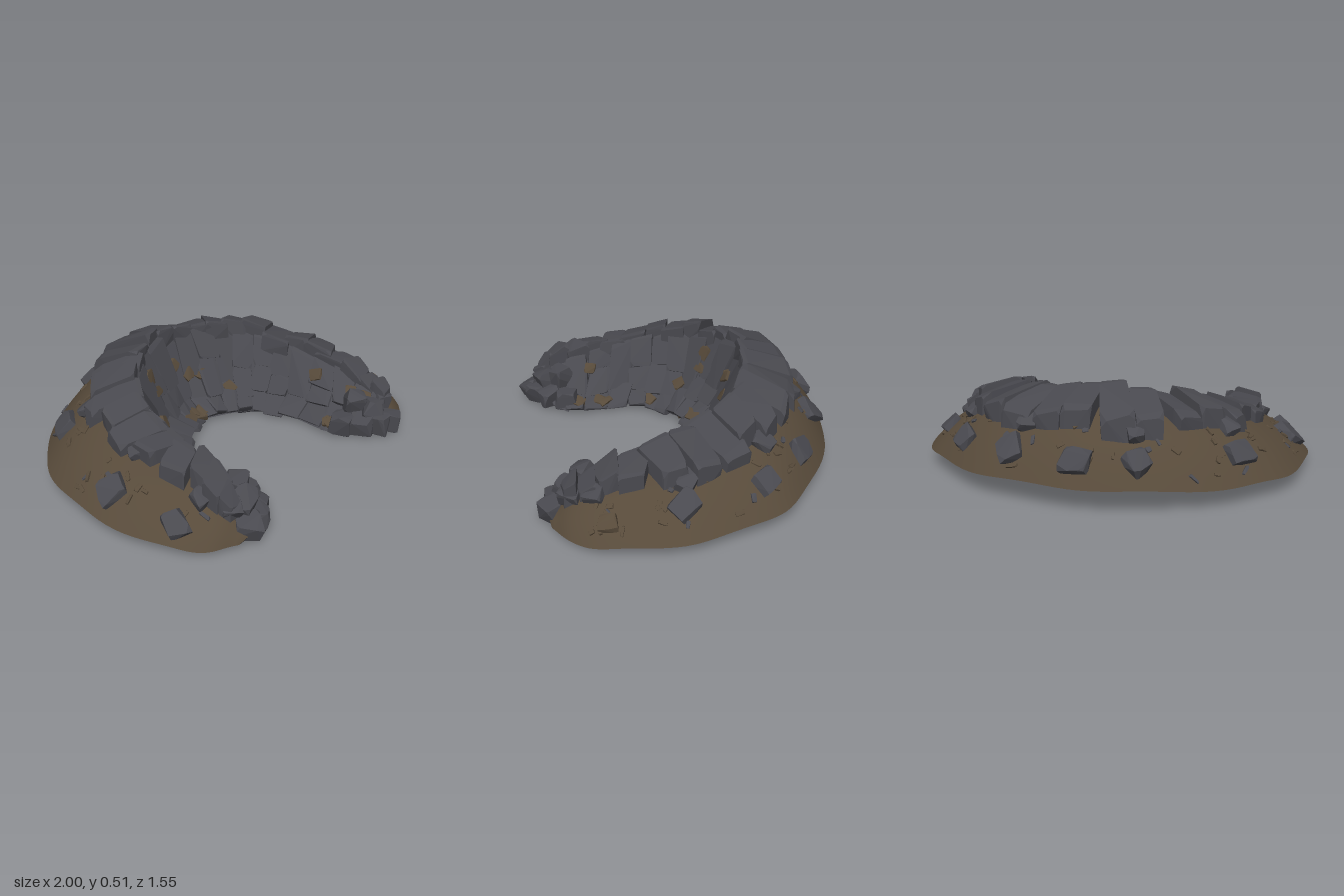
import * as THREE from 'three';
import { mergeGeometries } from 'three/addons/utils/BufferGeometryUtils.js';
import { ConvexGeometry } from 'three/addons/geometries/ConvexGeometry.js';

const V = (x, y, z) => new THREE.Vector3(x, y, z);
const clamp01 = (t) => THREE.MathUtils.clamp(t, 0, 1);
let seed = 7;
const rnd = (a = 0, b = 1) => {
  seed = (seed * 16807) % 2147483647;
  return a + (b - a) * (seed / 2147483647);
};

// Half of the horseshoe, from one tip to the middle of the back; mirrored for the rest
const OUTER = [[-.7, .03, .71], [-.835, .035, .63], [-.94, .05, .45], [-1, .075, .12],
  [-.925, .085, -.23], [-.75, .095, -.47], [-.41, .11, -.69], [0, .12, -.77]];
const CREST = [[-.62, .13, .69], [-.59, .22, .58], [-.56, .29, .4], [-.55, .34, .17],
  [-.5, .39, -.03], [-.385, .43, -.21], [-.2, .46, -.315], [0, .485, -.365]];
const INNER = [[-.56, .03, .69], [-.43, .02, .59], [-.35, .02, .46], [-.355, .02, .23],
  [-.3, .02, .07], [-.205, .02, -.02], [-.1, .02, -.08], [0, .02, -.115]];
const spine = (half) => {
  const pts = half.map((p) => V(...p));
  for (let i = half.length - 2; i >= 0; i--) pts.push(V(-half[i][0], half[i][1], half[i][2]));
  return new THREE.CatmullRomCurve3(pts, false, 'catmullrom', 0.5);
};
const outer = spine(OUTER), crest = spine(CREST), inner = spine(INNER);
const at = (curve, u) => curve.getPoint(clamp01(u));
// The left arm is broader: its wall lies flatter
const leftArm = (u) => Math.exp(-(((u - 0.87) / 0.07) ** 2));

// Soil slope: k = 0 under the crest, k = 1 at the outer rim
function soilAt(u, k) {
  const c = at(crest, u), o = at(outer, u);
  c.x += 0.035 * leftArm(u);
  o.lerp(c, 0.012 * Math.sin(u * 61));
  const p = c.clone().lerp(o, k);
  const top = Math.max(c.y - 0.06, o.y);
  p.y = o.y + (top - o.y) * (1 - Math.pow(Math.max(k, 0), 2.2));
  return p;
}
// Inner wall: v = 0 at the foot, v = 1 at the crest, hollow in the middle
function wallAt(u, v) {
  const c = at(crest, u), arm = leftArm(u);
  c.x += 0.035 * arm;
  c.y -= 0.05;
  const p = at(inner, u).lerp(c, v);
  p.y -= (0.21 - 0.16 * arm) * c.y * Math.sin(Math.PI * clamp01(v));
  return p;
}
// Underside: v = 0 at the outer rim, v = 1 at the inner foot
function underAt(u, v) {
  const o = soilAt(u, 1), y = o.y;
  const p = o.lerp(at(inner, u), v);
  p.y = 0.01 + (y - 0.01) * Math.pow(1 - v, 2.2) + 0.01 * v;
  return p;
}
function normalAt(fn, u, v) {
  const e = 0.01;
  const du = fn(u + e, v).sub(fn(u - e, v)), dv = fn(u, v + e).sub(fn(u, v - e));
  return du.cross(dv).normalize();
}

// Skin swept along the horseshoe, both ends drawn in to a point
function skin(fn, nu, nv) {
  const pos = [], idx = [];
  for (let i = 0; i <= nu; i++) {
    for (let j = 0; j <= nv; j++) {
      const u = clamp01((i - 1) / (nu - 2));
      const p = fn(u, j / nv);
      if (i === 0 || i === nu) p.copy(at(crest, u)).add(V(0, -0.08, 0.03));
      pos.push(p.x, p.y, p.z);
      if (i < nu && j < nv) {
        const a = i * (nv + 1) + j, b = a + nv + 1;
        idx.push(a, b, a + 1, b, b + 1, a + 1);
      }
    }
  }
  const g = new THREE.BufferGeometry();
  g.setAttribute('position', new THREE.Float32BufferAttribute(pos, 3));
  g.setIndex(idx);
  g.computeVertexNormals();
  return g;
}

// Chipped block: a cube of -1..1 with cut, uneven corners, placed by the rule "map"
function rock(map, rough, cut = 0.4) {
  const pts = [];
  for (const a of [-1, 1]) for (const b of [-1, 1]) for (const c of [-1, 1]) {
    const q = [a, b, c].map((s) => s * (1 - rnd(0, rough * 2)));
    for (let n = 0; n < 3; n++) {
      const r = q.slice();
      r[n] *= 1 - rnd(0.12, cut);
      const p = map(...r);
      p.y = Math.max(p.y, rnd(0.005, 0.015));
      pts.push(p);
    }
  }
  return new ConvexGeometry(pts);
}
// Loose stone with its own size and turn, tilted to lie on a surface
function stone(p, n, sx, sy, sz) {
  const q = new THREE.Quaternion().setFromUnitVectors(V(0, 1, 0), n)
    .multiply(new THREE.Quaternion().setFromAxisAngle(V(0, 1, 0), rnd(0, 6.28)));
  return rock((a, b, c) => V(a * sx, b * sy, c * sz).applyQuaternion(q).add(p), 0.2, 0.75);
}

export function createModel() {
  const group = new THREE.Group();
  const rockMat = new THREE.MeshStandardMaterial({ color: 0x49494f });
  rockMat.name = 'slateRock';
  const soilMat = new THREE.MeshStandardMaterial({ color: 0x574a3a });
  soilMat.name = 'brownSoil';
  const add = (name, geo, mat) => {
    const m = new THREE.Mesh(Array.isArray(geo) ? mergeGeometries(geo) : geo, mat);
    m.name = name;
    group.add(m);
  };

  // Mound
  add('soilSlope', skin(soilAt, 110, 12), soilMat);
  add('innerWall', skin(wallAt, 110, 8), rockMat);
  add('underside', skin(underAt, 110, 8), rockMat);

  // Columns of stacked blocks on the inner wall, each leaning out at its foot
  const wall = [], columns = 23;
  for (let i = 0; i < columns; i++) {
    const u0 = 0.03 + 0.94 * (i + 0.5) / columns, hw = 0.47 / columns * rnd(1, 1.25);
    const s0 = rnd(-0.1, 0.03), s1 = rnd(0.3, 0.46), s2 = rnd(0.66, 0.82);
    const cuts = rnd() < 0.3 ? [s0, s1 + 0.1, 1.06] : [s0, s1, s2, 1.08];
    for (let j = 0; j < cuts.length - 1; j++) {
      const mid = (cuts[j] + cuts[j + 1]) / 2, hv = (cuts[j + 1] - cuts[j]) / 2 * 1.1;
      const out = rnd(0.01, 0.04), lean = rnd(0, 0.016), roll = rnd(-0.012, 0.012);
      const skew = rnd(-0.006, 0.006), n = normalAt(wallAt, u0, mid);
      wall.push(rock((a, b, c) => wallAt(u0 + a * hw + b * skew, mid + b * hv)
        .addScaledVector(n, c > 0 ? c * (out - b * lean + a * roll) : c * 0.05), 0.08));
    }
  }
  add('wallBlocks', wall, rockMat);

  // Slabs leaning outward over the crest, narrower and uneven at their outer ends
  const slabs = [], count = 25;
  for (let i = 0; i < count; i++) {
    const u0 = 0.035 + 0.93 * (i + 0.5) / count, hw = 0.465 / count * rnd(1, 1.25);
    const back = Math.sin(Math.PI * u0) ** 4, spur = Math.abs(u0 - 0.765) < 0.045 ? 0.14 : 0;
    const k0 = rnd(-0.09, 0.03), k1 = rnd(0.34, 0.5) + 0.19 * back + spur;
    const top = rnd(0.06, 0.11), skew = rnd(-0.008, 0.008), taper = rnd(0.1, 0.3);
    const roll = rnd(-0.025, 0.025);
    slabs.push(rock((a, b, c) => {
      const k = k0 + (k1 - k0) * (b + 1) / 2;
      const p = soilAt(u0 + a * hw * (1 - taper * b) + b * skew, k);
      p.y += c > 0 ? c * (top + a * roll) : c * 0.07;
      return p;
    }, 0.09));
    // Smaller broken pieces beneath some slabs
    if (i % 3 === 1) {
      const u = u0 + hw, k = k1 - 0.08;
      slabs.push(stone(soilAt(u, k), normalAt(soilAt, u, k), 0.05, 0.045, 0.06));
    }
  }
  add('crestSlabs', slabs, rockMat);

  // Broken rock at both tips
  const tips = [];
  for (const s of [-1, 1]) {
    for (const [x, y, z, r] of [[.61, .06, .685, .062], [.54, .06, .665, .062], [.47, .06, .61, .065],
      [.56, .13, .62, .065], [.64, .14, .61, .055], [.41, .06, .52, .065], [.51, .16, .54, .06]]) {
      tips.push(stone(V(s * x, y, z), V(s * rnd(-.3, .3), 1, rnd(0, .4)).normalize(), r, r, r * 1.1));
    }
  }
  add('tipRocks', tips, rockMat);

  // Boulders half sunk in the outer slope
  const boulders = [[.13, .8], [.21, .76], [.345, .76], [.445, .82], [.495, .83],
    [.56, .8], [.625, .8], [.7, .76], [.79, .72]].map(([u, k]) => {
    const r = rnd(0.06, 0.072);
    return stone(soilAt(u, k), normalAt(soilAt, u, k), r, 0.042, r * 1.1);
  });
  add('slopeBoulders', boulders, rockMat);

  // Small clods and shards on the soil, with one larger clod
  const clods = [stone(soilAt(0.87, 0.76), normalAt(soilAt, 0.87, 0.76), 0.05, 0.03, 0.05)];
  const shards = [];
  for (let i = 0; i < 80; i++) {
    const u = rnd(0.06, 0.94), k = rnd(0.5, 0.92);
    (i % 4 ? clods : shards).push(stone(soilAt(u, k), normalAt(soilAt, u, k),
      rnd(0.008, 0.014), rnd(0.006, 0.012), rnd(0.015, 0.03)));
  }
  add('soilClods', clods, soilMat);
  add('soilShards', shards, rockMat);

  // Earth showing between the wall blocks
  const earth = [];
  for (let i = 0; i < 26; i++) {
    const u = rnd(0.08, 0.92), v = i % 2 ? rnd(0.05, 0.2) : rnd(0.45, 0.9), n = normalAt(wallAt, u, v);
    const p = wallAt(u, v).addScaledVector(n, 0.02);
    earth.push(stone(p, n, rnd(0.025, 0.045), 0.02, rnd(0.025, 0.045)));
  }
  add('wallEarth', earth, soilMat);
  return group;
}
